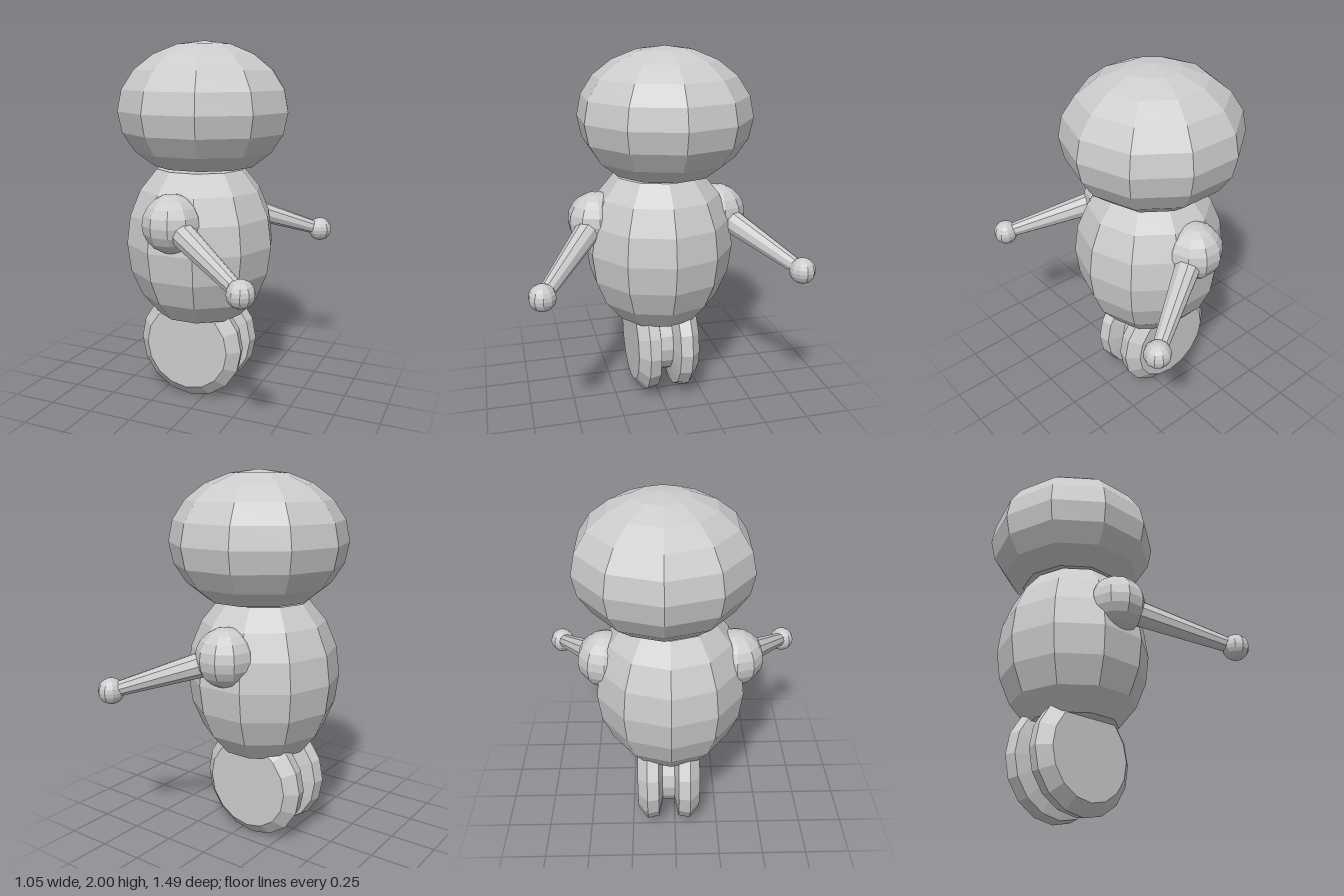
import * as THREE from 'three';

const mat = new THREE.MeshStandardMaterial({ color: 0xcccccc, flatShading: true, side: THREE.DoubleSide });

function add(parent, name, geometry, x = 0, y = 0, z = 0) {
  const mesh = new THREE.Mesh(geometry, mat);
  mesh.name = name;
  mesh.position.set(x, y, z);
  parent.add(mesh);
  return mesh;
}

// Ten-sided ellipsoid, cut flat at the given ring numbers (0 = bottom, 10 = top)
function ellipsoid(radius, height, firstRing, lastRing) {
  const points = [];
  for (let i = firstRing; i <= lastRing; i++) {
    const a = (i * Math.PI) / 10;
    points.push(new THREE.Vector2(Math.max(0, radius * Math.sin(a)), -height * Math.cos(a)));
  }
  if (firstRing > 0) points.unshift(new THREE.Vector2(0, points[0].y));
  if (lastRing < 10) points.push(new THREE.Vector2(0, points[points.length - 1].y));
  return new THREE.LatheGeometry(points, 10, Math.PI / 2);
}

const ball = (r) => new THREE.SphereGeometry(r, 10, 10);

export function createModel() {
  const model = new THREE.Group();
  model.name = 'wheeledRobot';

  add(model, 'head', ellipsoid(0.478, 0.37, 2, 10), -0.05, 1.63, -0.055);
  add(model, 'body', ellipsoid(0.418, 0.51, 2, 8), -0.06, 0.905, -0.024);

  // Double wheel: two bevelled discs joined by a narrower hub, turned about z
  const profile = [
    [0, -0.177], [0.245, -0.177], [0.31, -0.122], [0.297, -0.057], [0.2, -0.035],
    [0.2, 0.035], [0.297, 0.057], [0.31, 0.122], [0.245, 0.177], [0, 0.177],
  ].map(([r, h]) => new THREE.Vector2(r, h));
  const wheel = new THREE.LatheGeometry(profile, 16).rotateX(Math.PI / 2);
  add(model, 'wheel', wheel, -0.079, 0.31, -0.037);

  // One arm on each side: shoulder ball, tapered limb and hand ball
  for (const side of [1, -1]) {
    const arm = new THREE.Group();
    arm.name = side > 0 ? 'frontArm' : 'backArm';
    const shoulder = new THREE.Vector3(-0.066, 1.07, side > 0 ? 0.33 : -0.372);
    const hand = new THREE.Vector3(0.455, side > 0 ? 0.865 : 0.875, side * 0.68);
    add(arm, 'shoulder', ball(0.157), ...shoulder.toArray());
    add(arm, 'hand', ball(0.07), ...hand.toArray());

    const dir = hand.clone().sub(shoulder);
    const limb = add(arm, 'limb', new THREE.CylinderGeometry(0.038, 0.076, dir.length(), 10));
    limb.position.copy(shoulder).addScaledVector(dir, 0.5);
    limb.quaternion.setFromUnitVectors(new THREE.Vector3(0, 1, 0), dir.normalize());
    model.add(arm);
  }
  return model;
}
